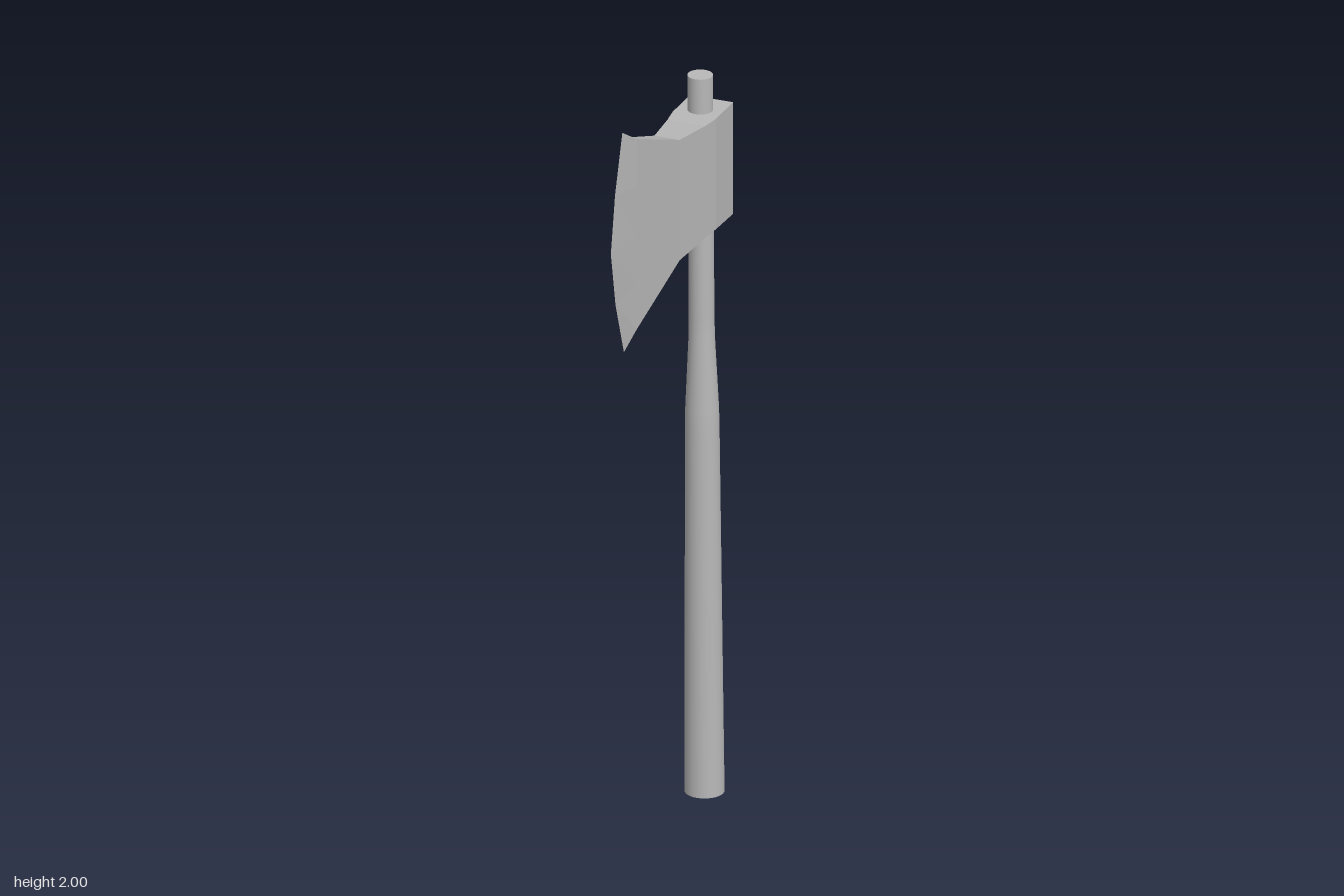
import * as THREE from 'three';

const gray = new THREE.MeshStandardMaterial({ color: 0xb8b8b8 });
gray.name = 'plain gray';

// Centre line of the slightly leaning shaft
const shaftZ = (y) => -0.276 + 0.0143 * y;

function createHandle() {
  const handle = new THREE.Group();
  handle.name = 'handle';

  // Shaft: tapered grip narrowing to a slim neck
  const profile = [[0.05, 0], [0.043, 1.0], [0.042, 1.05], [0.033, 1.24], [0.032, 1.3], [0.032, 1.955]];
  const shaftGeo = new THREE.LatheGeometry(profile.map(([r, y]) => new THREE.Vector2(r, y)), 32);
  const pos = shaftGeo.attributes.position;
  for (let i = 0; i < pos.count; i++) pos.setZ(i, pos.getZ(i) + shaftZ(pos.getY(i)));
  const shaft = new THREE.Mesh(shaftGeo, gray);
  shaft.name = 'shaft';
  handle.add(shaft);

  // End caps
  for (const [name, r, y, turn] of [['shaftBottom', 0.05, 0, 1], ['shaftTop', 0.032, 1.955, -1]]) {
    const cap = new THREE.Mesh(new THREE.CircleGeometry(r, 32), gray);
    cap.name = name;
    cap.rotation.x = turn * Math.PI / 2;
    cap.position.set(0, y, shaftZ(y));
    handle.add(cap);
  }
  return handle;
}

function createAxeHead() {
  // Sections from poll to bit: [z, half width, bottom y, top y]
  const sections = [
    [-0.322, 0.058, 1.557, 1.86],
    [-0.21, 0.058, 1.56, 1.86],
    [-0.16, 0.051, 1.556, 1.86],
    [-0.035, 0.034, 1.543, 1.87],
    [0.075, 0.0235, 1.494, 1.914],
    [0.19, 0.0125, 1.443, 1.96],
  ];
  // Curved cutting edge, bottom to top: [z, y]
  const edge = [[0.243, 1.4], [0.297, 1.55], [0.327, 1.7], [0.3, 1.85], [0.253, 2.0]];
  const rows = edge.length - 1;
  const last = sections.length;

  const point = (i, j, side) => {
    if (i === last) return [0, edge[j][1], edge[j][0]];
    const [z, w, y0, y1] = sections[i];
    return [side * w, y0 + (y1 - y0) * j / rows, z];
  };

  const verts = [];
  const quad = (a, b, c, d) => verts.push(...a, ...b, ...c, ...a, ...c, ...d);

  for (let i = 0; i < last; i++) {
    // Cheeks
    for (let j = 0; j < rows; j++) {
      quad(point(i, j, 1), point(i, j + 1, 1), point(i + 1, j + 1, 1), point(i + 1, j, 1));
      quad(point(i, j, -1), point(i + 1, j, -1), point(i + 1, j + 1, -1), point(i, j + 1, -1));
    }
    // Upper and lower faces
    quad(point(i, rows, 1), point(i, rows, -1), point(i + 1, rows, -1), point(i + 1, rows, 1));
    quad(point(i, 0, 1), point(i + 1, 0, 1), point(i + 1, 0, -1), point(i, 0, -1));
  }
  // Poll at the back
  quad(point(0, 0, 1), point(0, 0, -1), point(0, rows, -1), point(0, rows, 1));

  const geo = new THREE.BufferGeometry();
  geo.setAttribute('position', new THREE.Float32BufferAttribute(verts, 3));
  geo.computeVertexNormals();
  const head = new THREE.Mesh(geo, gray);
  head.name = 'axeHead';
  return head;
}

export function createModel() {
  const axe = new THREE.Group();
  axe.name = 'axe';
  axe.add(createHandle(), createAxeHead());
  return axe;
}
